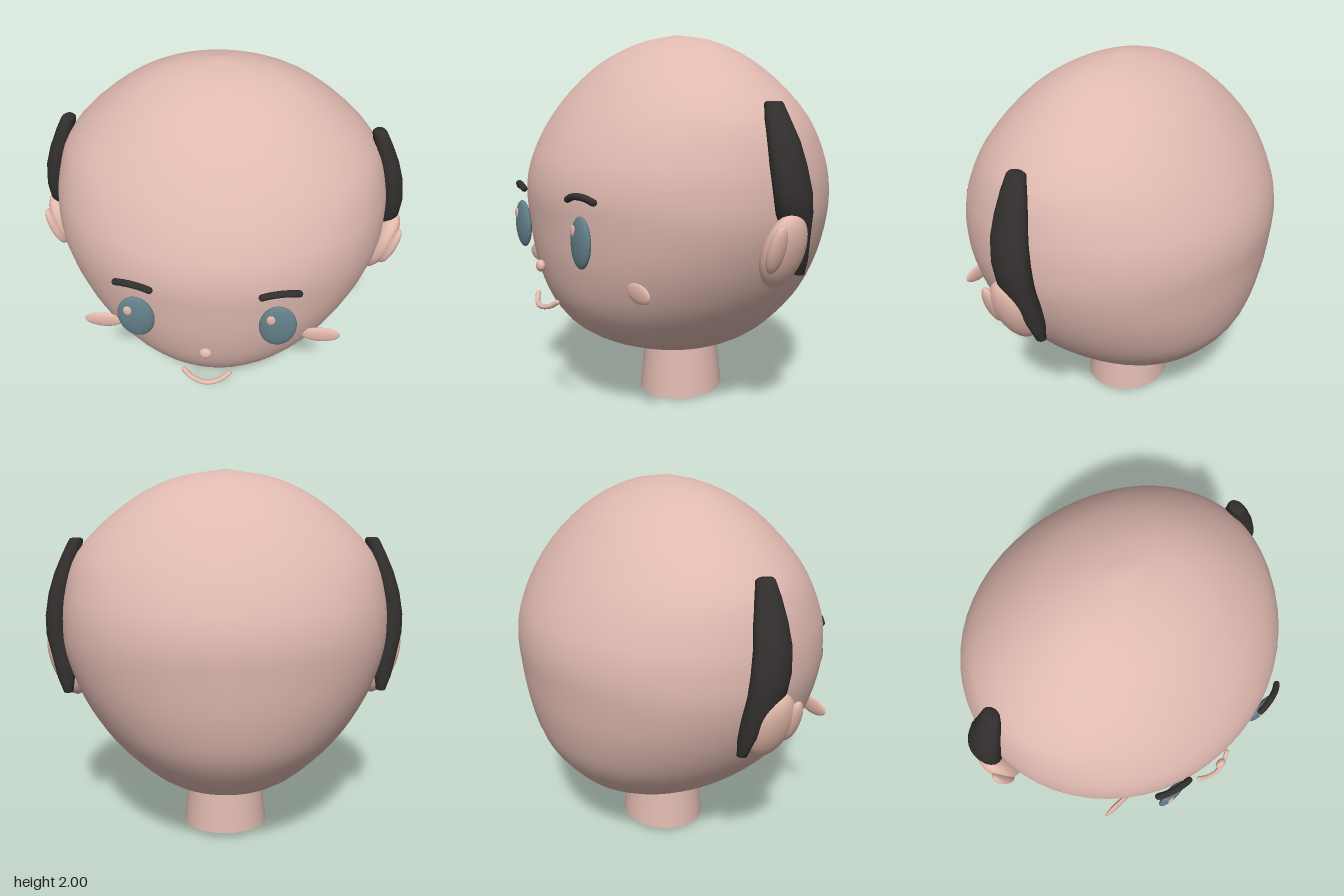
import * as THREE from 'three';
import { mergeVertices } from 'three/addons/utils/BufferGeometryUtils.js';

const material = (name, color) => {
  const m = new THREE.MeshStandardMaterial({ color });
  m.name = name;
  return m;
};

// Smooth closed skin through horizontal ellipses [x, y, z, rx, rz], bottom to top
function loft(rings, sides = 32) {
  const pos = [], index = [];
  rings.forEach(([x, y, z, rx, rz], j) => {
    for (let i = 0; i < sides; i++) {
      const a = (i / sides) * Math.PI * 2;
      pos.push(x + Math.cos(a) * rx, y, z + Math.sin(a) * rz);
      if (j === rings.length - 1) continue;
      const p = j * sides + i, q = j * sides + ((i + 1) % sides);
      index.push(p, p + sides, q, q, p + sides, q + sides);
    }
  });
  const g = new THREE.BufferGeometry();
  g.setAttribute('position', new THREE.Float32BufferAttribute(pos, 3));
  g.setIndex(index);
  const merged = mergeVertices(g, 1e-5);
  merged.computeVertexNormals();
  return merged;
}

export function createModel() {
  const model = new THREE.Group();
  model.name = 'characterHead';
  const skin = material('skin', 0xdfb9b0);
  const warmSkin = material('warmSkin', 0xe4b9ac);
  const hair = material('darkHair', 0x332f2f);
  const iris = material('eyeBlue', 0x64808a);

  const add = (name, geometry, mat, parent = model) => {
    const mesh = new THREE.Mesh(geometry, mat);
    mesh.name = name;
    parent.add(mesh);
    return mesh;
  };
  const ellipsoid = (name, mat, [x, y, z], [rx, ry, rz], tilt = 0) => {
    const mesh = add(name, new THREE.SphereGeometry(1, 28, 18), mat);
    mesh.position.set(x, y, z);
    mesh.scale.set(rx, ry, rz);
    mesh.rotation.z = tilt;
    return mesh;
  };
  // Round bar along a curve with rounded ends
  const bar = (name, mat, points, radius) => {
    const group = new THREE.Group();
    group.name = name;
    model.add(group);
    const curve = new THREE.CatmullRomCurve3(points.map(p => new THREE.Vector3(...p)));
    add(name + 'Bar', new THREE.TubeGeometry(curve, 20, radius, 10), mat, group);
    for (const t of [0, 1]) {
      add(name + 'End', new THREE.SphereGeometry(radius, 10, 8), mat, group)
        .position.copy(curve.getPoint(t));
    }
  };

  // Skull: half width, height, half depth along the profile
  const profile = new THREE.CatmullRomCurve3([
    [0, 0.27, 0], [0.2, 0.285, 0.22], [0.44, 0.4, 0.52], [0.65, 0.6, 0.7],
    [0.79, 0.82, 0.77], [0.87, 1.05, 0.795], [0.88, 1.2, 0.8], [0.865, 1.35, 0.765],
    [0.79, 1.57, 0.645], [0.53, 1.82, 0.425], [0.28, 1.95, 0.2], [0, 2, 0],
  ].map(p => new THREE.Vector3(...p)), false, 'centripetal');
  const skullRings = profile.getPoints(44).map(p =>
    [0, p.y, -0.02 - 0.05 * Math.max(0, 1 - (p.y - 0.27) / 0.2), Math.max(p.x, 0), Math.max(p.z, 0)]);
  add('skull', loft(skullRings, 56), skin);

  // Neck with a slanted lower end
  const neckGeometry = new THREE.CylinderGeometry(0.195, 0.235, 0.4, 40);
  const np = neckGeometry.attributes.position;
  for (let i = 0; i < np.count; i++) {
    if (np.getY(i) < 0) np.setY(i, np.getY(i) + (0.235 - np.getZ(i)) * 0.075);
  }
  const neck = add('neck', neckGeometry, skin);
  neck.position.set(0, 0.2, -0.06);

  for (const s of [-1, 1]) {
    const side = s > 0 ? 'left' : 'right';

    // Ear with raised inner fold
    ellipsoid(side + 'Ear', warmSkin, [s * 0.885, 0.955, -0.02], [0.075, 0.195, 0.12], -0.36 * s);
    ellipsoid(side + 'EarFold', warmSkin, [s * 0.935, 0.975, 0.067], [0.032, 0.12, 0.048], -0.33 * s);

    // Strip of hair that narrows behind the ear
    add(side + 'SideHair', loft([
      [0.855, 0.82, -0.155, 0, 0], [0.855, 0.822, -0.155, 0.025, 0.025],
      [0.865, 0.9, -0.145, 0.045, 0.035], [0.88, 1.0, -0.11, 0.058, 0.065],
      [0.905, 1.13, -0.065, 0.068, 0.1], [0.907, 1.23, -0.05, 0.068, 0.106],
      [0.89, 1.35, -0.035, 0.066, 0.1], [0.86, 1.46, -0.03, 0.06, 0.087],
      [0.825, 1.56, -0.022, 0.05, 0.066], [0.8, 1.63, -0.02, 0.038, 0.05],
      [0.8, 1.64, -0.02, 0.03, 0.04], [0.8, 1.64, -0.02, 0, 0],
    ].map(([x, ...rest]) => [s * x, ...rest]), 20), hair);

    // Eye with a small highlight on the same side of each
    ellipsoid(side + 'Eye', iris, [s * 0.342, 0.99, 0.745], [0.09, 0.126, 0.028], -0.08 * s);
    ellipsoid(side + 'EyeHighlight', warmSkin, [s * 0.342 - 0.034, 1.045, 0.768], [0.021, 0.028, 0.008]);

    // Arched brow
    bar(side + 'Brow', hair, [
      [0.262, 1.188, 0.768], [0.3, 1.202, 0.766], [0.345, 1.208, 0.758],
      [0.395, 1.202, 0.742], [0.432, 1.186, 0.722],
    ].map(([x, y, z]) => [s * x, y, z]), 0.017);

    // Cheek
    ellipsoid(side + 'Cheek', warmSkin, [s * 0.565, 0.77, 0.57], [0.1, 0.047, 0.015]);
  }

  // Nose and smile
  ellipsoid('nose', warmSkin, [0, 0.825, 0.8], [0.032, 0.03, 0.022]);
  bar('mouth', warmSkin, [
    [-0.115, 0.655, 0.768], [-0.07, 0.628, 0.792], [0, 0.617, 0.808],
    [0.07, 0.628, 0.792], [0.115, 0.655, 0.768],
  ], 0.013);

  return model;
}
